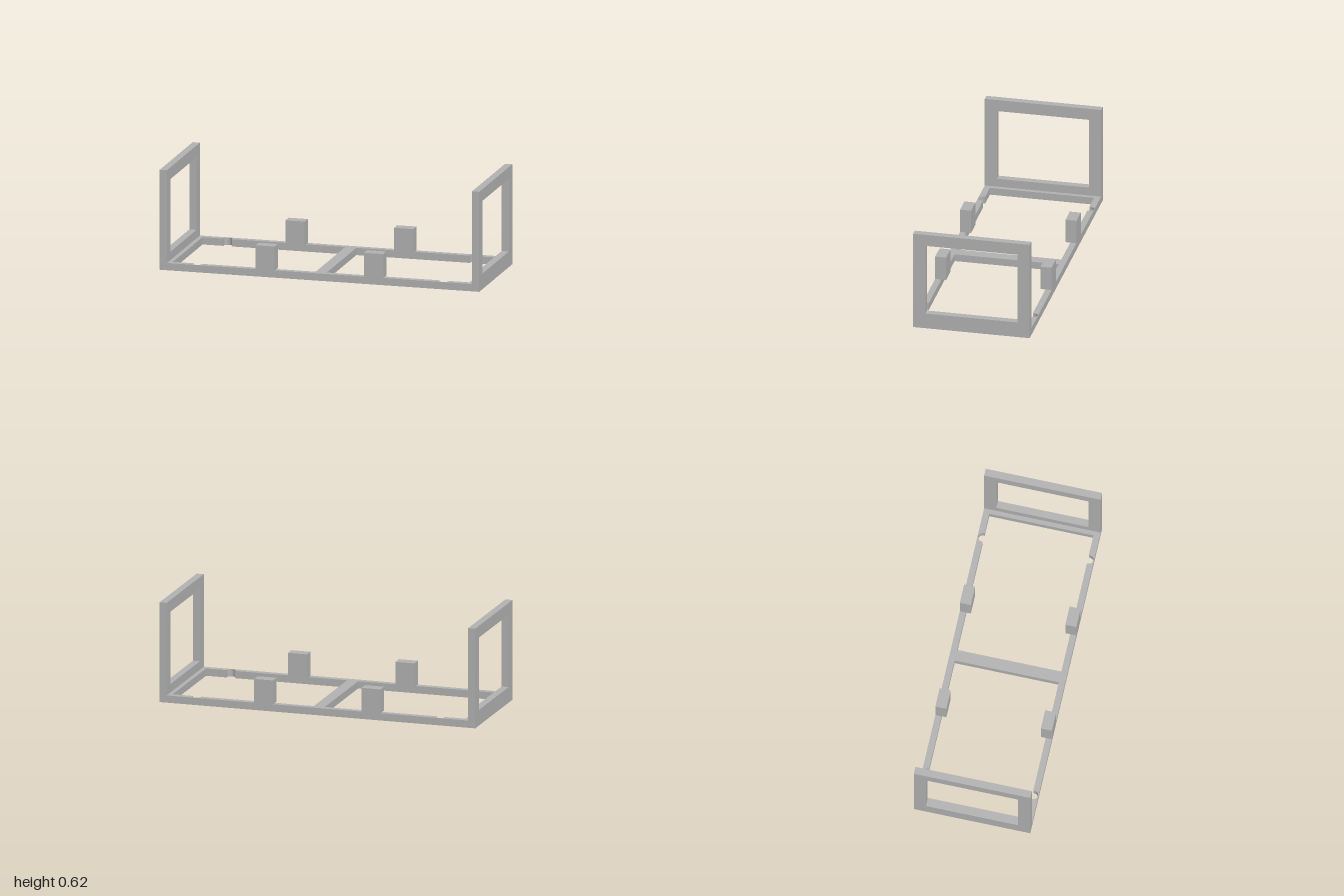
import * as THREE from 'three';

const W = 1, D = 0.359;          // half length and half depth
const BASE_H = 0.045, TOP = 0.62;

const rect = (Type, x0, y0, x1, y1) => {
  const s = new Type();
  s.moveTo(x0, y0);
  s.lineTo(x1, y0);
  s.lineTo(x1, y1);
  s.lineTo(x0, y1);
  s.closePath();
  return s;
};

// Opening in the base, with a round notch in each long rail
function baseOpening(side) {
  const inner = 0.035, outer = 0.928, z = 0.321;
  const nx = 0.772 * side, nz = 0.328, r = 0.027;
  const x0 = side > 0 ? inner : -outer;
  const x1 = side > 0 ? outer : -inner;
  const p = new THREE.Path();
  p.moveTo(x0, -z);
  p.lineTo(nx - r, -z);
  p.lineTo(nx - r, -nz);
  p.absarc(nx, -nz, r, Math.PI, Math.PI * 2, false);
  p.lineTo(nx + r, -z);
  p.lineTo(x1, -z);
  p.lineTo(x1, z);
  p.lineTo(nx + r, z);
  p.lineTo(nx + r, nz);
  p.absarc(nx, nz, r, 0, Math.PI, false);
  p.lineTo(nx - r, z);
  p.lineTo(x0, z);
  p.closePath();
  return p;
}

export function createModel() {
  const model = new THREE.Group();
  model.name = 'mountingFrame';
  const grey = new THREE.MeshStandardMaterial({ color: 0xb2b2b2 });
  grey.name = 'grey';

  const add = (name, geometry) => {
    const mesh = new THREE.Mesh(geometry, grey);
    mesh.name = name;
    model.add(mesh);
    return mesh;
  };

  // Flat base: rails, end bars and the middle crossbar in one piece
  const base = rect(THREE.Shape, -W, -D, W, D);
  base.holes.push(baseOpening(-1), baseOpening(1));
  const baseGeo = new THREE.ExtrudeGeometry(base, { depth: BASE_H, bevelEnabled: false, curveSegments: 16 });
  add('baseFrame', baseGeo.rotateX(-Math.PI / 2));

  // Upright window-like frames at both ends
  const end = rect(THREE.Shape, -D, BASE_H, D, TOP);
  end.holes.push(rect(THREE.Path, -0.284, 0.097, 0.284, 0.547));
  const thick = 0.045;
  const endGeo = new THREE.ExtrudeGeometry(end, { depth: thick, bevelEnabled: false });
  endGeo.translate(0, 0, -thick / 2).rotateY(Math.PI / 2);
  for (const side of [-1, 1]) {
    add(side > 0 ? 'leftEndFrame' : 'rightEndFrame', endGeo).position.x = side * (W - thick / 2);
  }

  // Four blocks standing on the rails and overhanging inwards
  const blockH = 0.193 - BASE_H, blockD = 0.068;
  const blockGeo = new THREE.BoxGeometry(0.12, blockH, blockD);
  for (const sx of [-1, 1]) {
    for (const sz of [-1, 1]) {
      const name = (sz > 0 ? 'front' : 'back') + (sx > 0 ? 'Left' : 'Right') + 'Block';
      add(name, blockGeo).position.set(sx * 0.34, BASE_H + blockH / 2, sz * (D - blockD / 2));
    }
  }
  return model;
}
